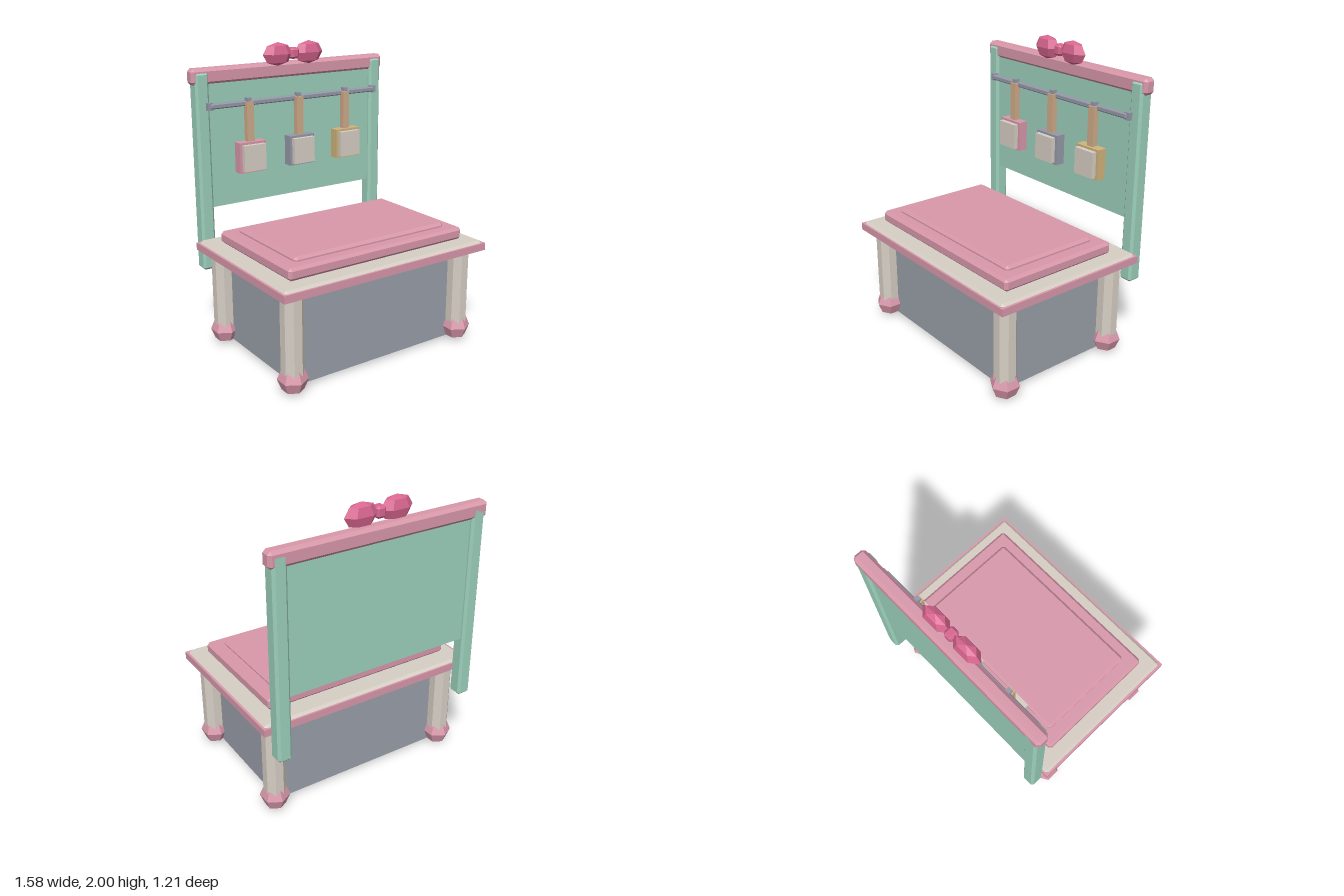
import * as THREE from 'three';
import { ConvexGeometry } from 'three/addons/geometries/ConvexGeometry.js';

const mat = (name, color) => {
  const m = new THREE.MeshStandardMaterial({ color, flatShading: true });
  m.name = name;
  return m;
};

// Box with every edge chamfered by b
function chamferBox(w, h, d, b) {
  const pts = [];
  const x = w / 2, y = h / 2, z = d / 2;
  for (const i of [-1, 1]) for (const j of [-1, 1]) for (const k of [-1, 1]) {
    pts.push(new THREE.Vector3(i * x, j * (y - b), k * (z - b)));
    pts.push(new THREE.Vector3(i * (x - b), j * y, k * (z - b)));
    pts.push(new THREE.Vector3(i * (x - b), j * (y - b), k * z));
  }
  return new ConvexGeometry(pts);
}

export function createModel() {
  const pink = mat('dusty pink', 0xd898aa);
  const rose = mat('rose', 0xd8668f);
  const mint = mat('mint', 0x9ccfbb);
  const cream = mat('cream', 0xd6cec4);
  const slate = mat('slate grey', 0x999ea8);
  const steel = mat('steel grey', 0x9599a8);
  const wood = mat('light wood', 0xcfac8a);
  const gold = mat('gold', 0xd0b47c);

  const model = new THREE.Group();
  model.name = 'workbench';
  const add = (name, geo, material, parent = model) => {
    const mesh = new THREE.Mesh(geo, material);
    mesh.name = name;
    parent.add(mesh);
    return mesh;
  };
  // Box given by its limits on each axis, with an optional chamfer
  const block = (name, material, [x0, x1], [y0, y1], [z0, z1], b = 0, parent = model) => {
    const s = [x1 - x0, y1 - y0, z1 - z0];
    const mesh = add(name, b ? chamferBox(...s, b) : new THREE.BoxGeometry(...s), material, parent);
    mesh.position.set((x0 + x1) / 2, (y0 + y1) / 2, (z0 + z1) / 2);
    return mesh;
  };

  // Base cabinet
  block('cabinet', slate, [-0.63, 0.63], [0.025, 0.605], [-0.36, 0.45]);

  // Octagonal legs with faceted ball feet
  for (const x of [-0.665, 0.665]) for (const z of [-0.39, 0.48]) {
    const leg = add('leg', new THREE.CylinderGeometry(0.0735, 0.0735, 0.56, 8), cream);
    leg.rotation.y = Math.PI / 8;
    leg.position.set(x, 0.385, z);
    const foot = add('foot', new THREE.SphereGeometry(0.098, 6, 4), pink);
    foot.rotation.y = Math.PI / 2;
    foot.position.set(x, 0.1, z);
  }

  // Table top with pink rim
  block('tableTop', cream, [-0.775, 0.775], [0.656, 0.726], [-0.505, 0.59], 0.016);
  const rim = new THREE.Shape([[-0.79, -0.56], [0.79, -0.56], [0.79, 0.56], [-0.79, 0.56]]
    .map(([x, y]) => new THREE.Vector2(x, y)));
  rim.holes.push(new THREE.Path([[-0.75, -0.52], [-0.75, 0.52], [0.75, 0.52], [0.75, -0.52]]
    .map(([x, y]) => new THREE.Vector2(x, y))));
  const rimMesh = add('tableRim', new THREE.ExtrudeGeometry(rim, { depth: 0.05, bevelEnabled: false }), pink);
  rimMesh.rotation.x = -Math.PI / 2;
  rimMesh.position.set(0, 0.66, 0.043);

  // Stepped mat on the table
  block('lowerMat', pink, [-0.68, 0.68], [0.728, 0.81], [-0.38, 0.488], 0.018);
  block('upperMat', pink, [-0.59, 0.59], [0.79, 0.838], [-0.297, 0.406], 0.018);

  // Back board, posts and top rail
  block('backPanel', mint, [-0.66, 0.66], [0.93, 1.78], [-0.58, -0.53]);
  for (const s of [-1, 1]) {
    const post = block('post', mint, [-0.048, 0.048], [0.5, 1.84], [-0.605, -0.505], 0.016);
    post.position.x = s * 0.697;
  }
  block('topRail', pink, [-0.765, 0.765], [1.757, 1.864], [-0.605, -0.515], 0.02);

  // Hanging rod with end brackets
  block('rod', steel, [-0.66, 0.66], [1.603, 1.638], [-0.502, -0.467], 0.007);
  for (const s of [-1, 1]) {
    const bracket = block('rodBracket', steel, [-0.018, 0.018], [1.595, 1.645], [-0.515, -0.475]);
    bracket.position.x = s * 0.662;
  }

  // Three hanging tools: hook, handle, head and face plate
  [pink, steel, gold].forEach((color, i) => {
    const tool = new THREE.Group();
    tool.name = 'hangingTool';
    tool.position.x = (i - 1) * 0.39;
    model.add(tool);
    block('hook', steel, [-0.016, 0.016], [1.615, 1.658], [-0.485, -0.45], 0, tool);
    block('handle', wood, [-0.026, 0.026], [1.36, 1.632], [-0.482, -0.44], 0, tool);
    block('toolHead', color, [-0.1, 0.1], [1.16, 1.367], [-0.488, -0.42], 0, tool);
    block('toolFace', cream, [-0.082, 0.082], [1.175, 1.352], [-0.421, -0.388], 0, tool);
  });

  // Bow on the rail
  const bow = new THREE.Group();
  bow.name = 'bow';
  bow.position.set(0, 1.92, -0.52);
  model.add(bow);
  for (const s of [-1, 1]) {
    const loop = add('bowLoop', new THREE.SphereGeometry(1, 6, 4), rose, bow);
    loop.scale.set(0.116, 0.08, 0.055);
    loop.position.x = s * 0.124;
  }
  add('bowKnot', chamferBox(0.066, 0.076, 0.07, 0.015), rose, bow);

  return model;
}
